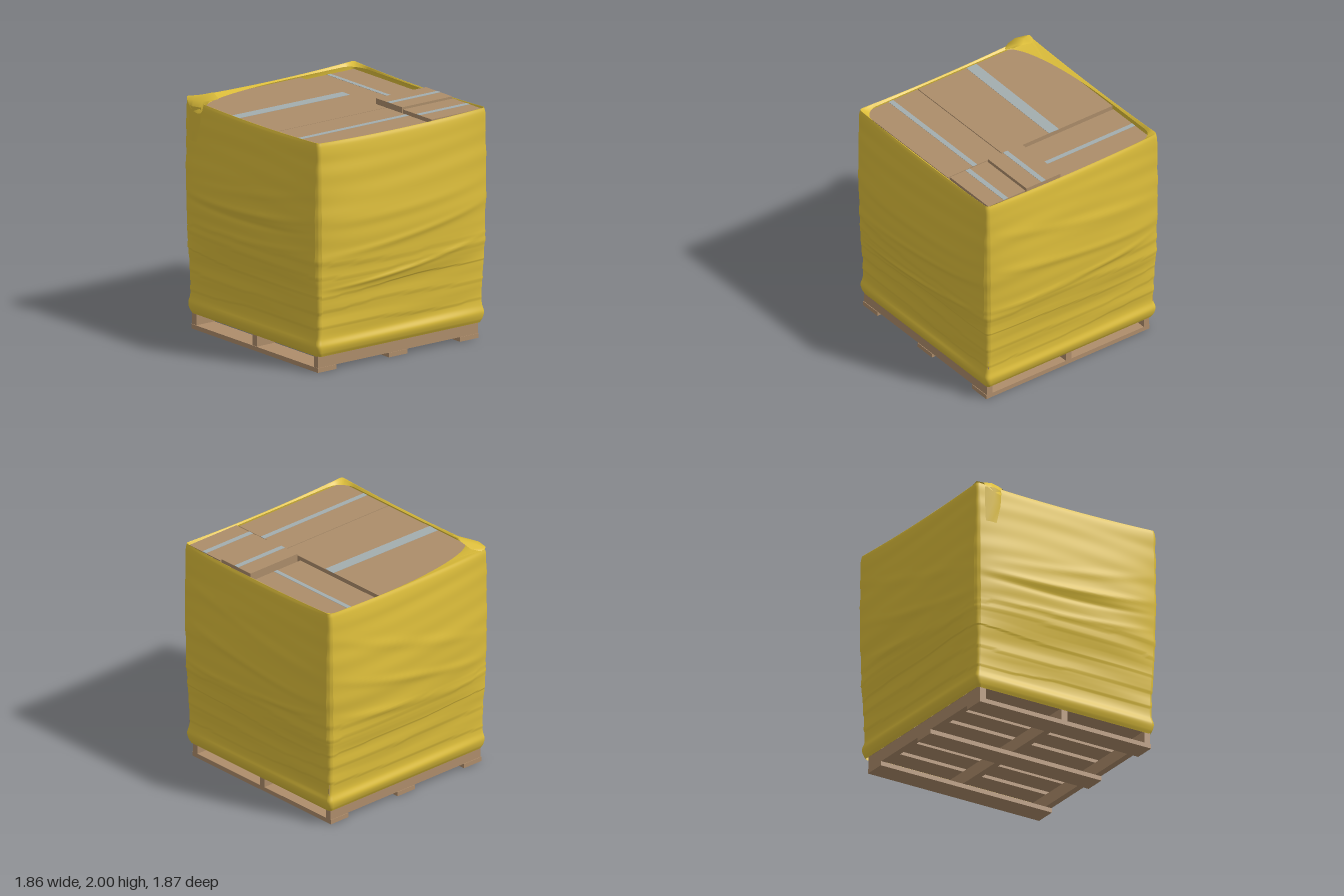
import * as THREE from 'three';

const mat = (color, side = THREE.FrontSide) => new THREE.MeshStandardMaterial({ color, side, roughness: 0.8 });
const wood = mat(0xae8d6b);
const card = mat(0xac8d6a);
const tapeMat = mat(0xa3adae);
const film = mat(0xdcbd3a, THREE.DoubleSide);

// Box given by its limits on each axis
function block(name, [x0, x1], [y0, y1], [z0, z1], material) {
  const mesh = new THREE.Mesh(new THREE.BoxGeometry(x1 - x0, y1 - y0, z1 - z0), material);
  mesh.position.set((x0 + x1) / 2, (y0 + y1) / 2, (z0 + z1) / 2);
  mesh.name = name;
  return mesh;
}

// Surface through a grid of points; closed joins the end of each row to its start
function gridSurface(name, rows, closed) {
  const n = rows[0].length, index = [];
  for (let j = 0; j < rows.length - 1; j++) {
    for (let i = 0; i < (closed ? n : n - 1); i++) {
      const a = j * n + i, b = j * n + (i + 1) % n;
      index.push(a, a + n, b, b, a + n, b + n);
    }
  }
  const geo = new THREE.BufferGeometry();
  geo.setAttribute('position', new THREE.Float32BufferAttribute(rows.flat(2), 3));
  geo.setIndex(index);
  geo.computeVertexNormals();
  const mesh = new THREE.Mesh(geo, film);
  mesh.name = name;
  return mesh;
}

function pallet() {
  const g = new THREE.Group();
  g.name = 'pallet';
  for (const z of [-0.81, -0.08, 0.65]) g.add(block('bottomBoard', [-0.82, 0.83], [0, 0.038], [z, z + 0.19], wood));
  for (const x of [-0.815, -0.028, 0.77]) g.add(block('stringer', [x, x + 0.055], [0.038, 0.145], [-0.81, 0.835], wood));
  for (let i = 0; i < 7; i++) {
    const z = -0.81 + i * 0.2425;
    g.add(block('deckBoard', [-0.82, 0.825], [0.145, 0.18], [z, z + 0.19], wood));
  }
  return g;
}

// Columns of boxes: x limits, z limits, top height, tape direction, tape centre, tape width
const BOXES = [
  [[-0.832, 0.278], [-0.295, 0.835], 1.9, 'z', -0.25, 0.1],
  [[0.285, 0.832], [-0.295, 0.835], 1.9, 'z', 0.555, 0.045],
  [[-0.832, 0.09], [-0.84, -0.308], 1.875, 'x', -0.58, 0.04],
  [[0.105, 0.448], [-0.84, -0.325], 1.935, 'z', 0.275, 0.045],
  [[0.46, 0.832], [-0.84, -0.325], 1.92, 'z', 0.655, 0.045],
];

function load() {
  const g = new THREE.Group();
  g.name = 'boxes';
  for (const [xs, zs, top, dir, c, w] of BOXES) {
    g.add(block('cardboardBox', xs, [0.182, top], zs, card));
    const strip = [c - w / 2, c + w / 2];
    for (const y of [0.182, top]) {
      const tape = block('packingTape', dir === 'z' ? strip : xs, [y - 0.002, y + 0.002], dir === 'z' ? zs : strip, tapeMat);
      if (w > 0.06) tape.rotation.y = -0.015;
      g.add(tape);
    }
  }
  return g;
}

// Wrap profile: height, half width at the corners, extra bulge mid-side
const PROFILE = new THREE.CatmullRomCurve3([
  [0.13, 0.835, 0], [0.165, 0.85, 0.004], [0.215, 0.858, 0.008], [0.28, 0.846, 0.002],
  [0.45, 0.846, 0.012], [0.65, 0.855, 0.02], [0.75, 0.86, 0.034], [1.0, 0.865, 0.05],
  [1.2, 0.87, 0.052], [1.5, 0.87, 0.036], [1.75, 0.868, 0.018], [1.9, 0.865, 0.006], [1.935, 0.858, 0],
].map(p => new THREE.Vector3(...p)), false, 'centripetal');

// Stretch folds: side (0 right, 1 front, 2 left, 3 back), height, slope, depth, width
const FOLDS = [
  [1, 1.17, -0.06, 0.014, 0.03], [1, 1.09, -0.03, -0.01, 0.025], [1, 1.33, -0.12, 0.008, 0.04], [1, 0.93, -0.05, 0.008, 0.025],
  [0, 1.02, -0.1, 0.01, 0.03], [0, 0.74, -0.1, 0.01, 0.02], [0, 1.25, -0.05, 0.006, 0.04],
  [2, 1.1, 0.18, 0.01, 0.035], [2, 0.86, 0.08, 0.01, 0.03], [2, 1.4, 0.25, 0.008, 0.04],
  [3, 1.15, 0.1, 0.01, 0.035], [3, 0.9, -0.06, 0.01, 0.025], [3, 1.45, 0.15, 0.008, 0.04],
];
// Overlapping edges of the film winding
const BANDS = [0.35, 0.5, 0.65, 0.8, 0.89];

function relief(side, t, y) {
  const s = (side * 2 + t) * Math.PI / 4;
  let d = 0.0015 * Math.sin(34 * y + 2 * Math.sin(2 * s + 1)) + 0.0015 * Math.sin(19 * y + 3 * s);
  BANDS.forEach((b, i) => {
    const f = y - b - 0.022 * Math.sin(2 * s + i * 1.3) - 0.01 * Math.sin(5 * s + i);
    if (f > 0 && f < 0.08) d += 0.005 * (1 - f / 0.08);
  });
  for (const [k, fy, slope, depth, w] of FOLDS) {
    if (k === side) d += depth * (1 - t * t) * Math.exp(-(((y - fy - slope * t - 0.05 * t * t) / w) ** 2));
  }
  return d * THREE.MathUtils.smoothstep(y, 0.13, 0.3) * (1 - THREE.MathUtils.smoothstep(y, 1.75, 1.93));
}

// Rounded square outline: side, point, outward direction and position along the side
function outline() {
  const r = 0.035, pts = [], n = 40;
  for (let k = 0; k < 4; k++) {
    for (let i = 0; i <= n; i++) {
      const t = (1 - r) * Math.sin((i / n - 0.5) * Math.PI);
      pts.push({ k, a: 1, b: t, na: 1, nb: 0, t });
    }
    for (let i = 1; i < 5; i++) {
      const q = i / 5 * Math.PI / 2, c = Math.cos(q), s = Math.sin(q);
      pts.push({ k, a: 1 - r + r * c, b: 1 - r + r * s, na: c, nb: s, t: 1 });
    }
  }
  return pts;
}

// Rounded corners of the top opening: signs of x and z, then the radii
const CORNERS = [[-1, 1, 0.24, 1.04], [1, 1, 0.17, 0.14], [-1, -1, 0.17, 0.12], [1, -1, 0.02, 0.02]];

function openingPoint(x, z) {
  x = THREE.MathUtils.clamp(x, -0.84, 0.843);
  z = THREE.MathUtils.clamp(z, -0.85, 0.842);
  for (const [sx, sz, a, b] of CORNERS) {
    const cx = sx * (0.84 - a), cz = sz * (0.845 - b);
    const u = (x - cx) * sx / a, v = (z - cz) * sz / b;
    if (u > 0 && v > 0) {
      const l = Math.max(1, Math.hypot(u, v));
      return [cx + sx * a * u / l, cz + sz * b * v / l];
    }
  }
  return [x, z];
}

function wrap() {
  const pts = outline(), rows = [], steps = 170;
  for (let j = 0; j <= steps; j++) {
    const p = PROFILE.getPoint(j / steps);
    rows.push(pts.map(({ k, a, b, na, nb, t }) => {
      const out = p.z * (1 - t ** 4) + relief(k, t, p.x);
      const la = a * p.y + na * out, lb = b * p.y + nb * out;
      const c = [1, 0, -1, 0][k], s = [0, 1, 0, -1][k];
      const sag = 0.02 * (1 - t * t) * THREE.MathUtils.smoothstep(p.x, 1.6, 1.93);
      return [la * c - lb * s, p.x - sag, la * s + lb * c];
    }));
  }
  // Lip folded in over the boxes
  const rim = rows[steps];
  for (const f of [0.25, 0.6, 1]) {
    rows.push(rim.map(([x, y, z]) => {
      const [ox, oz] = openingPoint(x, z);
      return [x + (ox - x) * f, y + (1.906 - y) * f, z + (oz - z) * f];
    }));
  }
  return gridSurface('stretchWrap', rows, true);
}

// Loose end of the film, sticking up at one corner and trailing down the front
function looseEnd() {
  const g = new THREE.Group();
  g.name = 'looseFilmEnd';
  g.add(gridSurface('filmFlap', [
    [[-0.86, 1.93, 0.8], [-0.86, 1.945, 0.85], [-0.82, 1.93, 0.885], [-0.76, 1.88, 0.9]],
    [[-0.8, 1.95, 0.74], [-0.78, 1.96, 0.82], [-0.74, 1.945, 0.885], [-0.72, 1.86, 0.905]],
    [[-0.7, 1.98, 0.73], [-0.66, 2.0, 0.74], [-0.65, 1.945, 0.86], [-0.66, 1.85, 0.9]],
    [[-0.62, 1.97, 0.75], [-0.55, 1.975, 0.77], [-0.6, 1.95, 0.83], [-0.645, 1.85, 0.885]],
  ], false));
  g.add(gridSurface('filmTail', [
    [[-0.8, 1.9, 0.885], [-0.72, 1.9, 0.908], [-0.645, 1.9, 0.88]],
    [[-0.8, 1.8, 0.882], [-0.72, 1.8, 0.904], [-0.648, 1.77, 0.884]],
    [[-0.79, 1.6, 0.882], [-0.74, 1.6, 0.892], [-0.69, 1.6, 0.888]],
  ], false));
  return g;
}

export function createModel() {
  const model = new THREE.Group();
  model.name = 'wrappedPallet';
  model.add(pallet(), load(), wrap(), looseEnd());
  return model;
}
